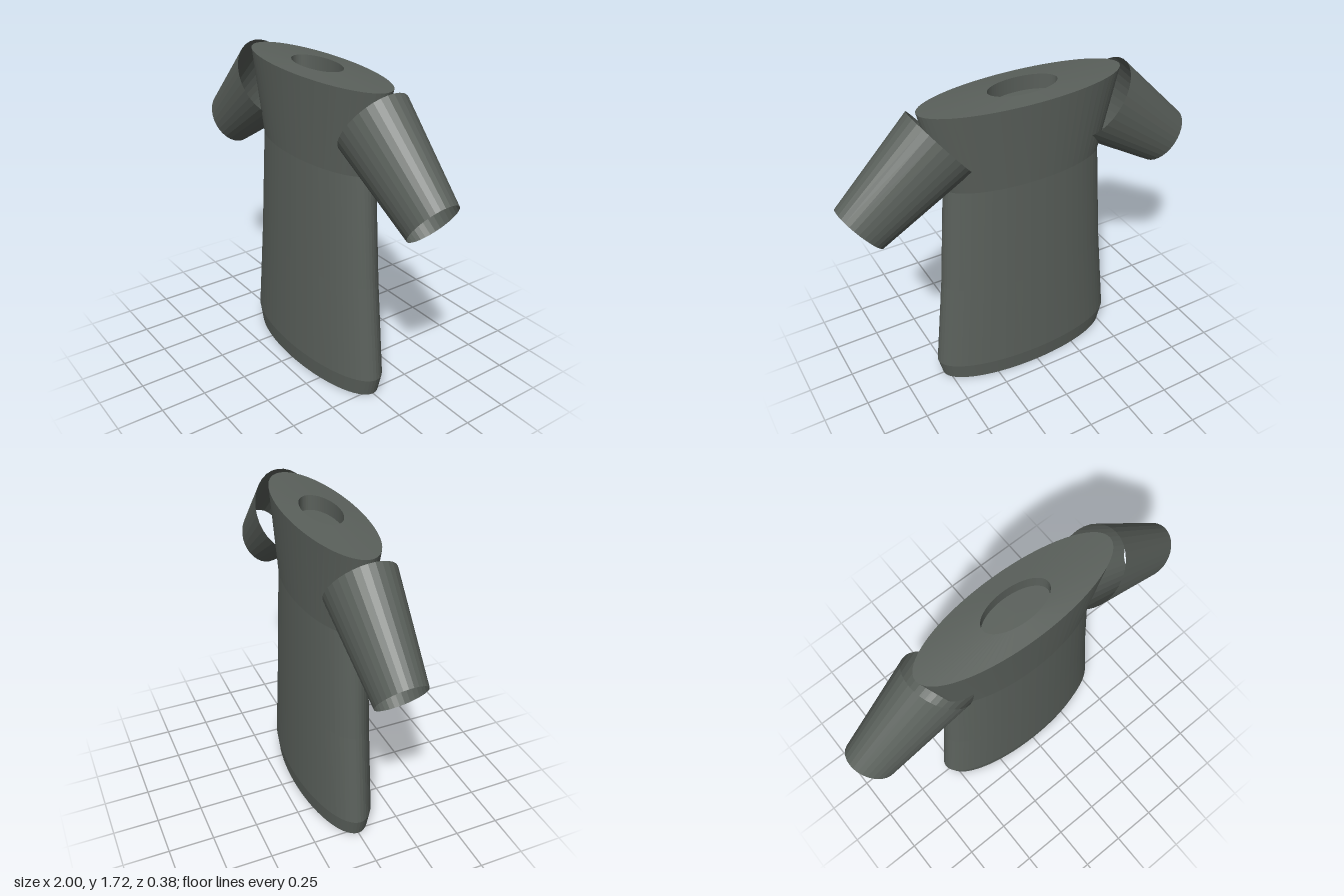
import * as THREE from 'three';

export function createModel() {
  const shirt = new THREE.Group();
  shirt.name = 'shirt';
  const cloth = new THREE.MeshStandardMaterial({ color: 0x5a605b, flatShading: true, side: THREE.DoubleSide });
  cloth.name = 'dark grey cloth';

  // Torso: elliptical rings [half width, half depth, height], from the hem up to the neck recess
  const rings = [
    [0, 0, 0], [0.53, 0.176, 0], [0.555, 0.188, 0.105], [0.497, 0.176, 0.65],
    [0.45, 0.163, 1.26], [0.56, 0.18, 1.705],
    [0.19, 0.09, 1.715], [0.19, 0.09, 1.635], [0, 0, 1.635],
  ];
  const torsoGeo = new THREE.LatheGeometry(rings.map(([w, , y]) => new THREE.Vector2(w, y)), 64);
  const pos = torsoGeo.attributes.position;
  for (let i = 0; i < pos.count; i++) {
    const [w, d] = rings[i % rings.length];
    if (w > 0) pos.setZ(i, pos.getZ(i) * d / w);
  }
  torsoGeo.computeVertexNormals();
  const torso = new THREE.Mesh(torsoGeo, cloth);
  torso.name = 'torso';
  shirt.add(torso);

  // Sleeves: open tapered tubes, flattened front to back
  const shoulder = new THREE.Vector2(0.455, 1.53);
  const cuff = new THREE.Vector2(0.9, 1.182);
  const along = shoulder.clone().sub(cuff);
  for (const side of [1, -1]) {
    const geo = new THREE.CylinderGeometry(0.231, 0.162, along.length(), 32, 1, true);
    geo.scale(1, 1, 0.77);
    const sleeve = new THREE.Mesh(geo, cloth);
    sleeve.name = side > 0 ? 'leftSleeve' : 'rightSleeve';
    sleeve.position.set(side * (shoulder.x + cuff.x) / 2, (shoulder.y + cuff.y) / 2, 0);
    sleeve.rotation.z = side * Math.atan2(-along.x, along.y);
    shirt.add(sleeve);
  }
  return shirt;
}
